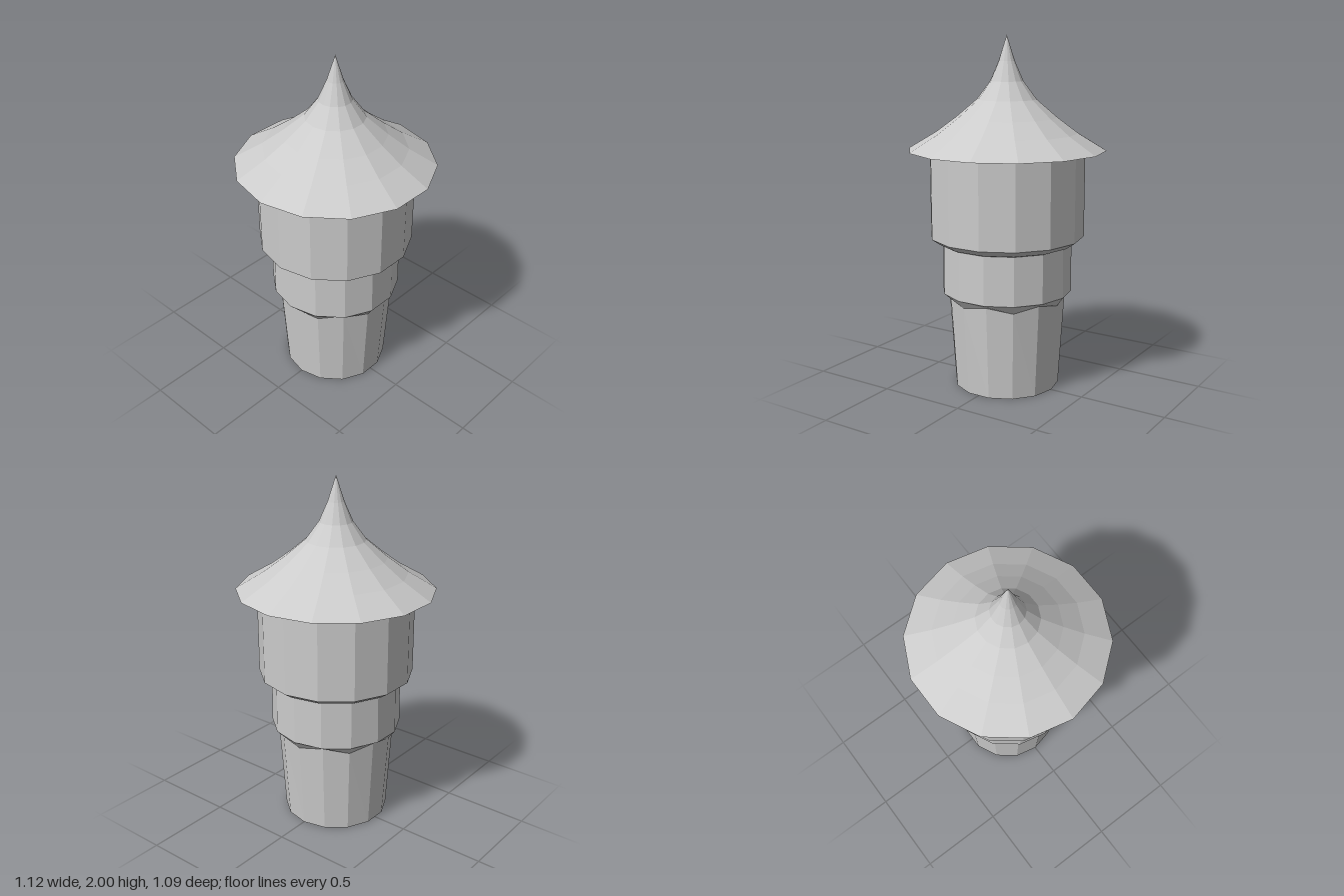
import * as THREE from 'three';

const SIDES = 14;
const material = new THREE.MeshStandardMaterial({ color: 0xcccccc, flatShading: true });

// Faceted turned part with a corner on the x axis; profile runs bottom to top as [radius, y]
function turned(name, profile) {
  const points = profile.map(([r, y]) => new THREE.Vector2(r, y));
  const mesh = new THREE.Mesh(new THREE.LatheGeometry(points, SIDES, Math.PI / 2), material);
  mesh.name = name;
  return mesh;
}

// Shift every other corner of one profile ring up and the rest down
function zigzag(mesh, ring, profileLength, amount) {
  const pos = mesh.geometry.attributes.position;
  for (let i = 0; i <= SIDES; i++) {
    const k = i * profileLength + ring;
    pos.setY(k, pos.getY(k) + (i % 2 ? amount : -amount));
  }
}

export function createModel() {
  const group = new THREE.Group();
  group.name = 'tower';

  // Tapered base, notched collar and wide upper drum
  const shaftProfile = [
    [0, 0], [0.302, 0],
    [0.335, 0.523],
    [0.373, 0.56], [0.37, 0.838],
    [0.39, 0.845], [0.44, 0.88],
    [0.44, 1.37],
  ];
  const shaft = turned('shaft', shaftProfile);
  zigzag(shaft, 2, shaftProfile.length, 0.014);
  group.add(shaft);

  // Flared pointed roof with a flat underside
  group.add(turned('roof', [
    [0, 1.37], [0.558, 1.37],
    [0.4, 1.465], [0.285, 1.55], [0.167, 1.65],
    [0.093, 1.75], [0.045, 1.86], [0, 2],
  ]));

  return group;
}
